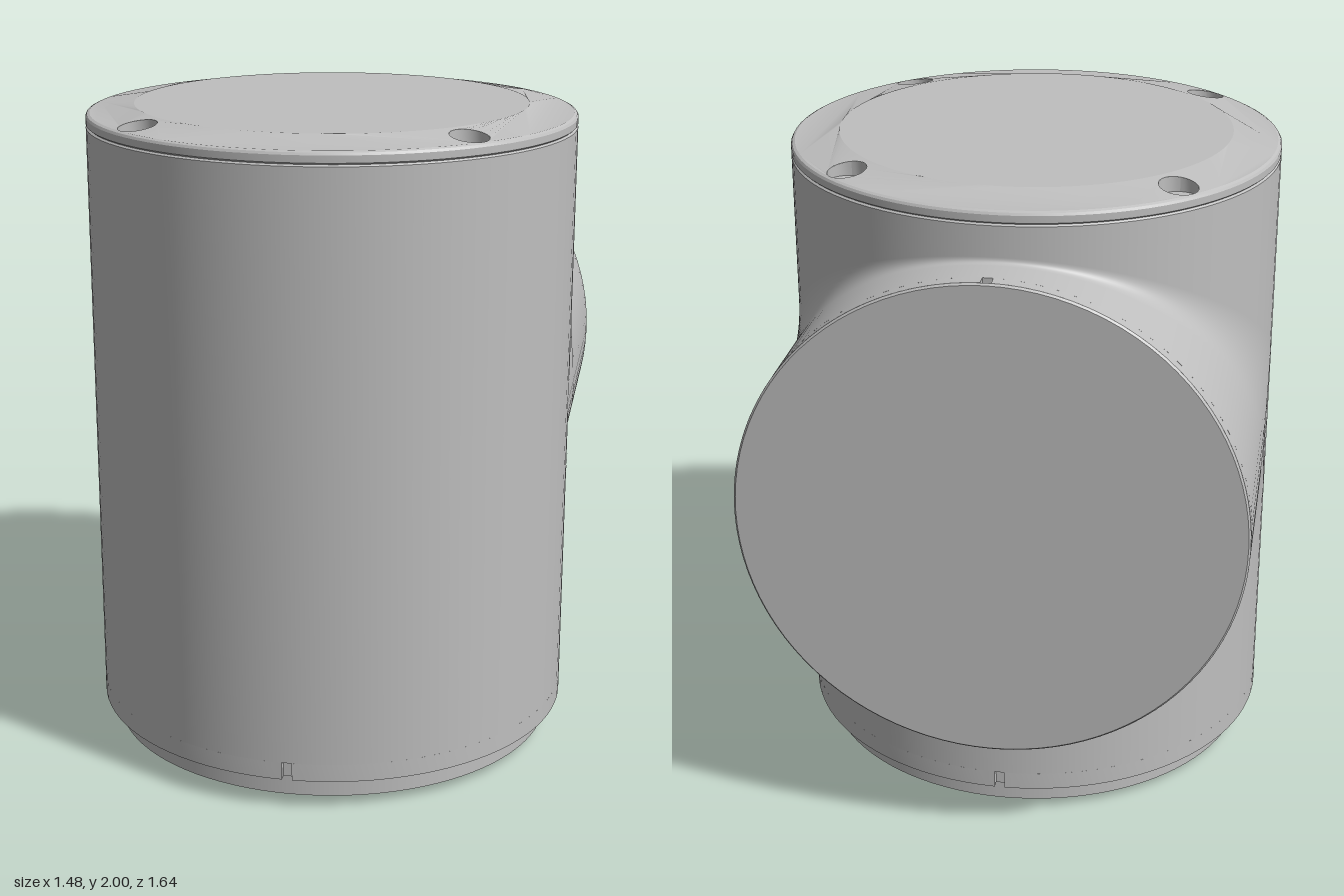
import * as THREE from 'three';
import { toCreasedNormals } from 'three/addons/utils/BufferGeometryUtils.js';
import { ParametricGeometry } from 'three/addons/geometries/ParametricGeometry.js';

const R = 0.742;       // radius of both barrels
const AXIS_Z = 0.08;   // vertical barrel axis
const AXIS_Y = 1.085;  // rear outlet axis
const SEG = 96;

const grey = new THREE.MeshStandardMaterial({ color: 0xbfbfbf });
grey.name = 'satin grey';
const greyOpen = grey; // all parts share one colour

function part(name, geometry, x = 0, y = 0, z = 0) {
  const mesh = new THREE.Mesh(geometry, greyOpen);
  mesh.name = name;
  mesh.position.set(x, y, z);
  return mesh;
}

// Disc with small rectangular notches cut into its rim
function notchedDisc(radius, angles, depth) {
  const half = 0.015 / radius;
  const pts = [];
  const add = (r, a) => pts.push(new THREE.Vector2(r * Math.cos(a), r * Math.sin(a)));
  const start = angles[0];
  const offsets = angles.map(a => (a - start + 2 * Math.PI) % (2 * Math.PI)).sort((a, b) => a - b);
  offsets.forEach((o, i) => {
    const end = i + 1 < offsets.length ? offsets[i + 1] : 2 * Math.PI;
    add(radius - 0.025, start + o - half);
    add(radius - 0.025, start + o + half);
    const from = start + o + half, to = start + end - half;
    const n = Math.round(SEG * (to - from) / (2 * Math.PI));
    for (let k = 0; k <= n; k++) add(radius, from + (to - from) * k / n);
  });
  const geo = new THREE.ExtrudeGeometry(new THREE.Shape(pts), { depth, bevelEnabled: false });
  return toCreasedNormals(geo, 0.5);
}

function ringShape(outer, inner) {
  const shape = new THREE.Shape().absarc(0, 0, outer, 0, Math.PI * 2);
  if (inner) shape.holes.push(new THREE.Path().absarc(0, 0, inner, 0, Math.PI * 2, true));
  return shape;
}

// Fillet between the barrels: wide at the sides, narrow at top and bottom
function filletGeometry(sign) {
  return new ParametricGeometry((u, v, target) => {
    const phi = Math.PI * (sign > 0 ? 1 - u : u);
    const s = Math.sin(phi), c = Math.cos(phi);
    const near = R * s, far = 0.24 + 0.7 * near;
    const k = (far - near) / 2;
    const mid = near + k * c * c;
    const midX = R * c - k * c * s;
    const a = (1 - v) ** 2, b = 2 * v * (1 - v), d = v * v;
    target.set(
      (a + d) * R * c + b * midX,
      AXIS_Y + sign * (a * far + b * mid + d * near),
      AXIS_Z - (a * near + b * mid + d * far)
    );
  }, SEG, 10);
}

export function createModel() {
  const model = new THREE.Group();
  model.name = 'pipeTeeHousing';

  // Vertical barrel with a fine seam below the lid
  const profile = [
    [0, 0.155], [R, 0.155], [R, 1.935], [R - 0.006, 1.94], [R, 1.945],
    [R, 1.966], [R - 0.004, 1.973], [0.73, 1.977]
  ].map(p => new THREE.Vector2(...p));
  model.add(part('mainBarrel', toCreasedNormals(new THREE.LatheGeometry(profile, SEG), 0.4), 0, 0, AXIS_Z));

  // Notched lower rim, base plate and hub with a centre hole
  const rim = notchedDisc(R, [-Math.PI / 2, Math.PI / 2], 0.055).rotateX(-Math.PI / 2);
  model.add(part('lowerRim', rim, 0, 0.1, AXIS_Z));
  model.add(part('basePlate', new THREE.CylinderGeometry(0.696, 0.696, 0.07, SEG), 0, 0.065, AXIS_Z));
  const hub = new THREE.ExtrudeGeometry(ringShape(0.32, 0.07),
    { depth: 0.03, bevelEnabled: false, curveSegments: 48 }).rotateX(-Math.PI / 2);
  model.add(part('baseHub', toCreasedNormals(hub, 0.5), 0, 0, AXIS_Z));

  // Sloping lid ring with four screw holes
  const holeR = 0.057, pitch = 0.475;
  const lid = ringShape(0.73, 0.595);
  const corners = [[1, 1], [1, -1], [-1, 1], [-1, -1]];
  for (const [i, j] of corners) {
    lid.holes.push(new THREE.Path().absarc(i * pitch, j * pitch, holeR, 0, Math.PI * 2, true));
  }
  const slope = r => 2 - (r - 0.595) * 0.023 / 0.135;
  const lidGeo = new THREE.ShapeGeometry(lid, 48).rotateX(-Math.PI / 2);
  const pos = lidGeo.attributes.position;
  for (let i = 0; i < pos.count; i++) pos.setY(i, slope(Math.hypot(pos.getX(i), pos.getZ(i))));
  lidGeo.computeVertexNormals();
  model.add(part('lidRing', lidGeo, 0, 0, AXIS_Z));
  model.add(part('lidDisc', new THREE.CircleGeometry(0.596, SEG).rotateX(-Math.PI / 2), 0, 2, AXIS_Z));

  for (const [i, j] of corners) {
    // Recess wall faces inward; its top follows the slope of the lid
    const wall = new THREE.CylinderGeometry(holeR, holeR, 0.04, 32, 1, true);
    const p = wall.attributes.position;
    for (let n = 0; n < p.count; n++) {
      const top = p.getY(n) > 0;
      p.setY(n, top ? slope(Math.hypot(p.getX(n) + i * pitch, p.getZ(n) + j * pitch)) : 1.95);
    }
    wall.index.array.reverse();
    wall.computeVertexNormals();
    model.add(part('screwHoleWall', wall, i * pitch, 0, AXIS_Z + j * pitch));
    model.add(part('screwHoleFloor', new THREE.CircleGeometry(holeR, 32).rotateX(-Math.PI / 2),
      i * pitch, 1.951, AXIS_Z + j * pitch));
  }

  // Rear outlet, its notched end and the blends into the barrel
  const outletLength = AXIS_Z + 0.775;
  const outlet = new THREE.CylinderGeometry(R, R, outletLength, SEG).rotateX(Math.PI / 2);
  model.add(part('rearOutlet', outlet, 0, AXIS_Y, AXIS_Z - outletLength / 2));
  model.add(part('outletRim', notchedDisc(R, [0, Math.PI / 2], 0.039), 0, AXIS_Y, -0.814));
  const edge = new THREE.CylinderGeometry(R, R - 0.006, 0.006, SEG).rotateX(Math.PI / 2);
  model.add(part('outletEdge', edge, 0, AXIS_Y, -0.817));
  model.add(part('upperFillet', filletGeometry(1)));
  model.add(part('lowerFillet', filletGeometry(-1)));

  return model;
}
